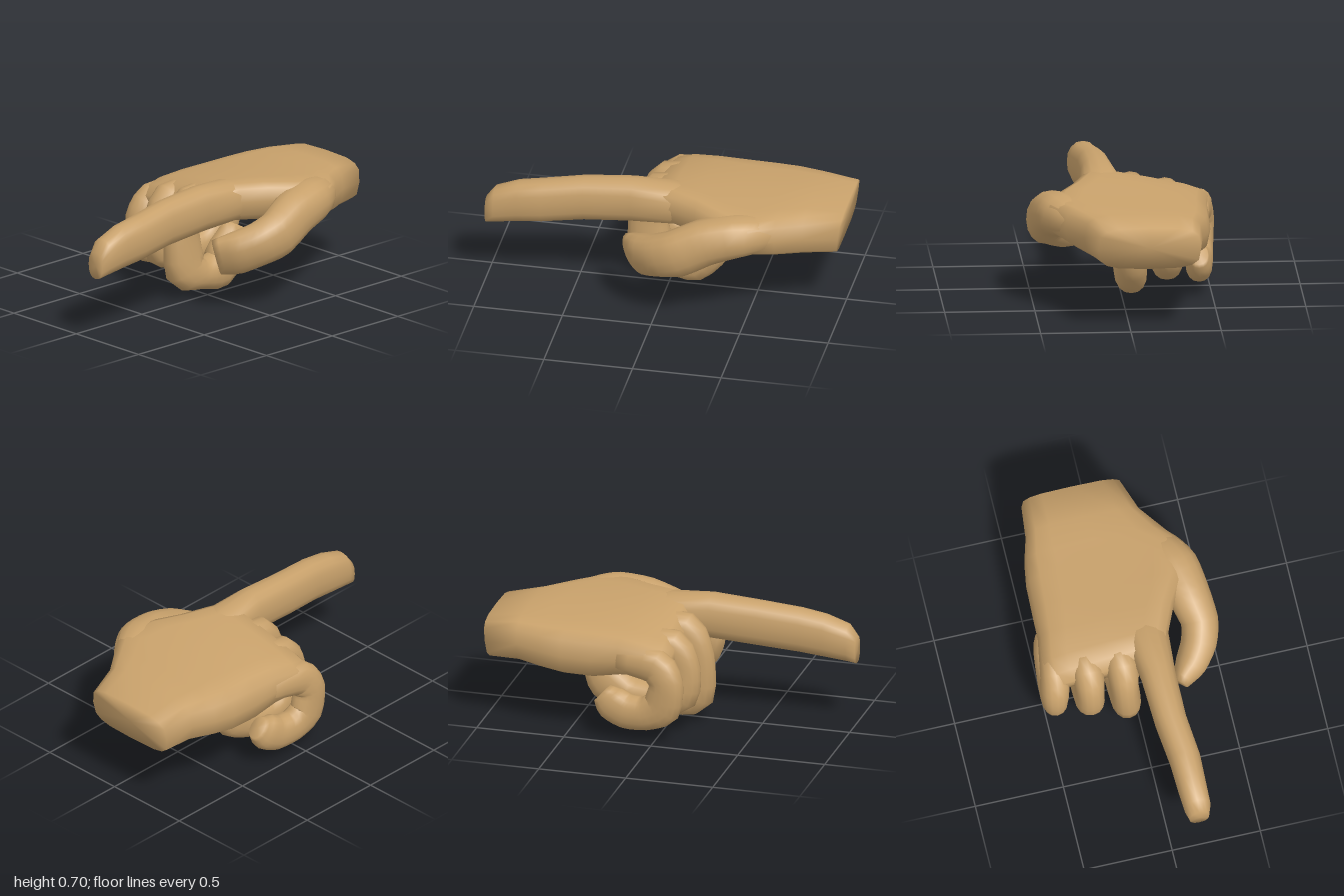
import * as THREE from 'three';

const SIDES = 16;

// Rounded-square unit ring; lower power = boxier
function ringPoint(k, power) {
  const a = (k / SIDES) * Math.PI * 2;
  const c = Math.cos(a), s = Math.sin(a);
  return [Math.sign(c) * Math.abs(c) ** power, Math.sign(s) * Math.abs(s) ** power];
}

// Skin a list of rings and close both ends, shaded smoothly throughout
function loft(rings) {
  const pos = [], idx = [];
  rings.forEach((r) => r.forEach((p) => pos.push(p.x, p.y, p.z)));
  for (let i = 0; i < rings.length - 1; i++) {
    for (let k = 0; k < SIDES; k++) {
      const a = i * SIDES + k, b = i * SIDES + ((k + 1) % SIDES);
      idx.push(a, b, a + SIDES, b, b + SIDES, a + SIDES);
    }
  }
  [0, rings.length - 1].forEach((row) => {
    const mid = new THREE.Vector3();
    rings[row].forEach((p) => mid.addScaledVector(p, 1 / SIDES));
    const c = pos.length / 3;
    pos.push(mid.x, mid.y, mid.z);
    for (let k = 0; k < SIDES; k++) {
      const a = row * SIDES + k, b = row * SIDES + ((k + 1) % SIDES);
      if (row) idx.push(a, b, c); else idx.push(b, a, c);
    }
  });

  // Turn the faces outward if the enclosed volume is negative
  const at = (i) => new THREE.Vector3().fromArray(pos, i * 3);
  let volume = 0;
  for (let i = 0; i < idx.length; i += 3) {
    volume += at(idx[i]).dot(at(idx[i + 1]).cross(at(idx[i + 2])));
  }
  if (volume < 0) idx.reverse();

  const g = new THREE.BufferGeometry();
  g.setAttribute('position', new THREE.Float32BufferAttribute(pos, 3));
  g.setIndex(idx);
  g.computeVertexNormals();
  return g;
}

// Bent digit: sections are [x, y, z, half thickness, half width]
function digit(sections) {
  const curve = (points) => new THREE.CatmullRomCurve3(points, false, 'catmullrom', 0.3);
  const path = curve(sections.map((s) => new THREE.Vector3(s[0], s[1], s[2])));
  const size = curve(sections.map((s) => new THREE.Vector3(s[3], s[4], 0)));
  const steps = (sections.length - 1) * 3;
  const rings = [];
  for (let i = 0; i <= steps; i++) {
    const t = i / steps;
    const p = path.getPoint(t), r = size.getPoint(t), dir = path.getTangent(t);
    const side = new THREE.Vector3(0, 0, 1).addScaledVector(dir, -dir.z).normalize();
    const normal = new THREE.Vector3().crossVectors(dir, side);
    const ring = [];
    for (let k = 0; k < SIDES; k++) {
      const [u, v] = ringPoint(k, 0.9);
      ring.push(p.clone().addScaledVector(side, u * r.y).addScaledVector(normal, v * r.x));
    }
    rings.push(ring);
  }
  return loft(rings);
}

// Straight form with upright rings:
// sections are [x, back z, front z, back top, front top, back bottom, front bottom]
function slab(sections, power) {
  const { lerp } = THREE.MathUtils;
  return loft(sections.map(([x, zb, zf, tb, tf, bb, bf]) => {
    const ring = [];
    for (let k = 0; k < SIDES; k++) {
      const [u, v] = ringPoint(k, power);
      const t = (u + 1) / 2;
      const y = lerp(lerp(bb, bf, t), lerp(tb, tf, t), (v + 1) / 2);
      // the wrist end leans slightly
      ring.push(new THREE.Vector3(x + (x > 0.9 ? 0.015 * (v - 1) : 0), y, lerp(zb, zf, t)));
    }
    return ring;
  }));
}

export function createModel() {
  const group = new THREE.Group();
  group.name = 'pointingHand';
  const skin = new THREE.MeshStandardMaterial({ color: 0xc8a16b });
  skin.name = 'skin';
  const add = (name, geometry) => {
    const mesh = new THREE.Mesh(geometry, skin);
    mesh.name = name;
    group.add(mesh);
  };

  // Wrist to knuckles, including the root of the thumb
  add('palm', slab([
    [1.0, -0.39, 0.18, 0.60, 0.60, 0.36, 0.36],
    [0.8, -0.41, 0.245, 0.625, 0.635, 0.36, 0.365],
    [0.66, -0.45, 0.345, 0.625, 0.655, 0.335, 0.39],
    [0.53, -0.47, 0.44, 0.625, 0.665, 0.31, 0.43],
    [0.36, -0.475, 0.39, 0.62, 0.69, 0.31, 0.44],
    [0.2, -0.48, 0.29, 0.61, 0.705, 0.35, 0.45],
    [0.05, -0.50, 0.225, 0.585, 0.715, 0.37, 0.46],
    [-0.04, -0.49, 0.20, 0.555, 0.70, 0.40, 0.48],
    [-0.09, -0.45, 0.17, 0.51, 0.63, 0.43, 0.50],
  ], 0.55));

  // Straight finger
  add('indexFinger', slab([
    [0.28, 0.02, 0.19, 0.64, 0.64, 0.50, 0.50],
    [0.05, -0.02, 0.225, 0.69, 0.69, 0.46, 0.46],
    [-0.18, 0.015, 0.21, 0.705, 0.705, 0.45, 0.45],
    [-0.45, 0.03, 0.21, 0.685, 0.685, 0.43, 0.43],
    [-0.68, 0.06, 0.235, 0.655, 0.655, 0.405, 0.405],
    [-0.82, 0.068, 0.232, 0.632, 0.632, 0.39, 0.39],
    [-0.95, 0.08, 0.23, 0.585, 0.585, 0.375, 0.375],
    [-1.0, 0.10, 0.21, 0.52, 0.52, 0.365, 0.365],
  ], 0.82));

  // Thumb reaching forward alongside the palm
  add('thumb', digit([
    [0.68, 0.52, 0.22, 0.07, 0.07],
    [0.54, 0.54, 0.30, 0.105, 0.115],
    [0.43, 0.54, 0.35, 0.12, 0.135],
    [0.28, 0.505, 0.39, 0.13, 0.12],
    [0.13, 0.435, 0.42, 0.135, 0.105],
    [0.02, 0.393, 0.39, 0.125, 0.10],
    [-0.08, 0.348, 0.32, 0.125, 0.088],
    [-0.16, 0.32, 0.24, 0.11, 0.05],
  ]));

  // Curled fingers: knuckle, middle joint, tip folded back to the palm
  add('middleFinger', digit([
    [0.15, 0.535, -0.06, 0.085, 0.085],
    [-0.06, 0.53, -0.065, 0.12, 0.09],
    [-0.13, 0.40, -0.07, 0.11, 0.078],
    [-0.115, 0.18, -0.06, 0.128, 0.085],
    [0.0, 0.12, -0.055, 0.085, 0.09],
    [0.125, 0.12, -0.055, 0.115, 0.09],
    [0.21, 0.22, -0.055, 0.125, 0.085],
    [0.275, 0.34, -0.055, 0.085, 0.06],
  ]));
  add('ringFinger', digit([
    [0.15, 0.51, -0.25, 0.085, 0.085],
    [-0.05, 0.505, -0.255, 0.11, 0.088],
    [-0.115, 0.39, -0.26, 0.10, 0.078],
    [-0.09, 0.25, -0.26, 0.12, 0.085],
    [0.03, 0.20, -0.255, 0.09, 0.088],
    [0.2, 0.205, -0.25, 0.105, 0.088],
    [0.32, 0.275, -0.245, 0.12, 0.082],
    [0.39, 0.36, -0.24, 0.08, 0.06],
  ]));
  add('littleFinger', digit([
    [0.2, 0.48, -0.41, 0.08, 0.07],
    [-0.01, 0.46, -0.435, 0.10, 0.08],
    [-0.075, 0.37, -0.45, 0.095, 0.078],
    [-0.05, 0.23, -0.45, 0.11, 0.072],
    [0.05, 0.175, -0.44, 0.095, 0.075],
    [0.16, 0.175, -0.43, 0.10, 0.075],
    [0.245, 0.215, -0.425, 0.10, 0.07],
    [0.3, 0.265, -0.42, 0.065, 0.05],
  ]));

  return group;
}
